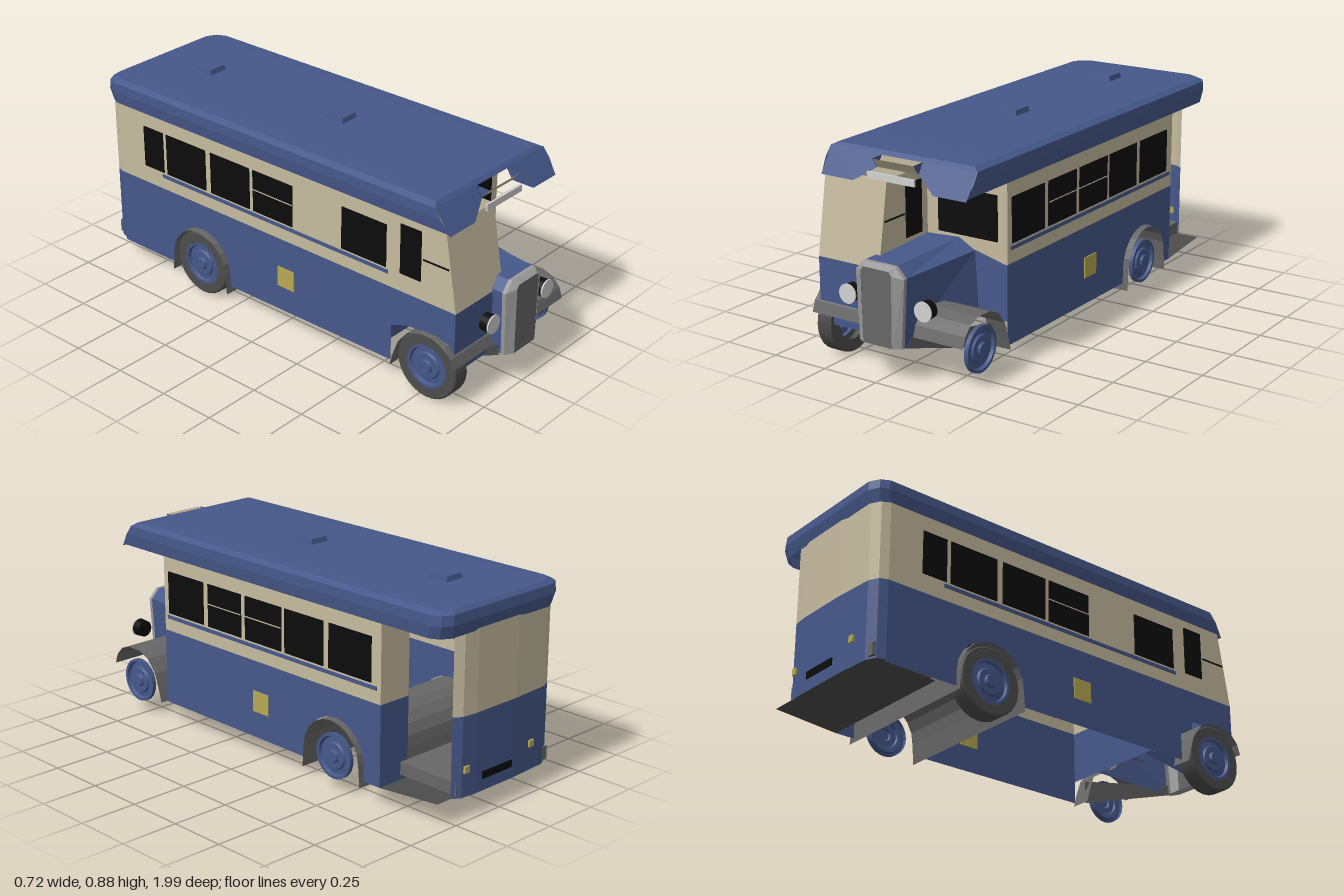
import * as THREE from 'three';
import { toCreasedNormals } from 'three/addons/utils/BufferGeometryUtils.js';

const paint = (name, color) => new THREE.MeshStandardMaterial({ name, color, side: THREE.DoubleSide });

export function createModel() {
  const bus = new THREE.Group();
  bus.name = 'halfCabBus';
  const blue = paint('blue', 0x46588a), cream = paint('cream', 0xc6bb9f), black = paint('black', 0x0c0c0c),
    grey = paint('grey', 0x676767), silver = paint('silver', 0x999999), white = paint('white', 0xd2d2d2),
    yellow = paint('yellow', 0xb8a852), rubber = paint('rubber', 0x4c4c4c);

  const add = (name, geo, mat, x = 0, y = 0, z = 0) => {
    const m = new THREE.Mesh(geo, mat);
    m.name = name;
    m.position.set(x, y, z);
    bus.add(m);
    return m;
  };
  // Box given by its limits
  const box = (name, mat, x0, x1, y0, y1, z0, z1) =>
    add(name, new THREE.BoxGeometry(x1 - x0, y1 - y0, z1 - z0), mat, (x0 + x1) / 2, (y0 + y1) / 2, (z0 + z1) / 2);
  // Faceted surface through rows of points; keep(i, j) may leave out a quad
  const loft = (name, mat, rows, closed = false, keep = () => true) => {
    const p = [];
    for (let i = 0; i + 1 < rows.length; i++) {
      const n = rows[i].length;
      for (let j = 0; j < (closed ? n : n - 1); j++) {
        if (!keep(i, j)) continue;
        const k = (j + 1) % n, [a, b, c, d] = [rows[i][j], rows[i][k], rows[i + 1][k], rows[i + 1][j]];
        p.push(...a, ...b, ...c, ...a, ...c, ...d);
      }
    }
    const g = new THREE.BufferGeometry();
    g.setAttribute('position', new THREE.Float32BufferAttribute(p, 3));
    g.computeVertexNormals();
    return add(name, g, mat);
  };
  const shape = pts => new THREE.Shape(pts.map(q => new THREE.Vector2(...q)));
  // Upright panel in the z-y plane at a given x
  const sidePanel = (name, mat, x, pts) =>
    add(name, new THREE.ShapeGeometry(shape(pts)).rotateY(-Math.PI / 2), mat, x);
  const frontPanel = (name, mat, z, pts) => add(name, new THREE.ShapeGeometry(shape(pts)), mat, 0, 0, z);
  const rect = (a, b, c, d) => [[a, c], [b, c], [b, d], [a, d]];
  // Arc of [z, y] points around a wheel
  const arc = (cz, cy, r, a0, a1, n = 10) => Array.from({ length: n + 1 }, (_, i) => {
    const a = (a0 + (a1 - a0) * i / n) * Math.PI / 180;
    return [cz + r * Math.cos(a), cy + r * Math.sin(a)];
  });

  // Side walls with rear wheel arches
  const W = 0.335, REAR = -0.435, FRONT = 0.785;
  for (const s of [1, -1]) {
    const end = s > 0 ? -0.68 : -0.92;
    const arch = arc(REAR, 0.145, 0.158, 180, 0);
    sidePanel('lowerSide', blue, s * W,
      [[0.6, 0.42], [end, 0.42], [end, 0.08], [arch[0][0], 0.08], ...arch, [arch[10][0], 0.085], [0.6, 0.09]]);
    sidePanel('upperSide', cream, s * W, rect(end, 0.6, 0.42, 0.76));
    box('waistStripe', blue, s * W - 0.004, s * W + 0.004, 0.475, 0.49, -0.66, 0.58);
  }

  // Side windows
  const panes = [[0.345, 0.57], [0.11, 0.315], [-0.13, 0.085], [-0.37, -0.15], [-0.63, -0.4]];
  const pane = (x, z0, z1, y0 = 0.5, y1 = 0.685) => box('window', black, x - 0.004, x + 0.004, y0, y1, z0, z1);
  panes.forEach(([a, b], i) => {
    pane(W, a, b);
    if (i !== 1) pane(-W, a, b);
    if (i === 1 || i === 2) box('windowBar', cream, W, W + 0.005, 0.596, 0.601, a, b);
  });
  box('windowBar', cream, -W - 0.005, -W, 0.596, 0.601, -0.13, 0.085);
  pane(-W, -0.765, -0.65);
  pane(-W + 0.006, -0.89, -0.78);

  // Rounded tail wall, open at the platform corner
  const tail = [[-W, -0.92], [-0.322, -0.955], [-0.28, -0.975], [-0.1, -0.985], [0.13, -0.985], [0.2, -0.978], [0.235, -0.955]];
  const tailRow = y => tail.map(([x, z]) => [x, y, z]);
  loft('lowerTail', blue, [tailRow(0.09), tailRow(0.42)]);
  loft('upperTail', cream, [tailRow(0.42), tailRow(0.77)]);
  box('numberPlate', black, -0.08, 0.09, 0.14, 0.17, -0.99, -0.984);
  for (const x of [-0.2, 0.18]) box('tailLamp', yellow, x - 0.013, x + 0.013, 0.19, 0.218, -0.989, -0.978);
  for (const s of [1, -1]) box('sideBadge', yellow, s * W - 0.004, s * W + 0.004, 0.2, 0.29, s > 0 ? -0.05 : 0, s > 0 ? 0.04 : 0.09);

  // Rear platform and its bulkhead
  loft('platformUnderside', rubber, [[[-0.32, 0.08, -0.68], [W, 0.08, -0.68]], [[-0.32, 0.1, -0.97], [0.325, 0.1, -0.97]]]);
  box('platformFloor', grey, -0.32, 0.22, 0.102, 0.155, -0.97, -0.68);
  frontPanel('platformBulkheadLower', blue, -0.68, rect(0.18, W, 0.08, 0.42));
  frontPanel('platformBulkheadUpper', cream, -0.68, rect(0.18, W, 0.42, 0.77));

  // Front bulkhead
  frontPanel('bulkheadLower', blue, 0.6, [[-W, 0.19], [W, 0.19], [W, 0.418], [0.18, 0.455], [-W, 0.455]]);
  frontPanel('bulkheadUpper', cream, 0.598, rect(-W, W, 0.418, 0.8));
  box('bulkheadWindow', black, 0.015, 0.29, 0.505, 0.69, 0.598, 0.605);

  // Driver's half cab
  const CI = -0.04;
  loft('cabFront', cream, [[[-W, 0.42, 0.91], [CI, 0.42, 0.91]], [[-W, 0.76, 0.852], [CI, 0.76, 0.852]]]);
  frontPanel('cabApron', blue, 0.91, [[-W, 0.21], [-0.27, 0.21], [-0.27, 0.15], [-0.08, 0.15], [-0.08, 0.42], [-W, 0.42]]);
  sidePanel('cabLowerSide', blue, -W, [[0.6, 0.25], [0.68, 0.28], [0.88, 0.28], [0.91, 0.21], [0.91, 0.42], [0.6, 0.42]]);
  for (const x of [-W, CI]) {
    sidePanel('cabUpperSide', cream, x, [[0.6, 0.42], [0.91, 0.42], [0.852, 0.76], [0.6, 0.76]]);
    pane(x, 0.64, 0.74, 0.5, 0.715);
    box('cabWindowRail', black, x - 0.004, x + 0.004, 0.596, 0.602, 0.75, 0.872);
  }

  // Bonnet
  const nose = [[-0.092, 0.15], [-0.103, 0.43], [-0.065, 0.472], [0.085, 0.472], [0.125, 0.43], [0.108, 0.15]];
  const cowl = [[-0.1, 0.2], [-0.1, 0.44], [-0.04, 0.485], [0.11, 0.493], [0.185, 0.452], [0.2, 0.2]];
  const at = (pts, z) => pts.map(([x, y]) => [x, y, z]);
  loft('bonnet', blue, [at(cowl, 0.6), at(nose, 0.955)]);

  // Radiator shell and grille
  const core = [[-0.058, 0.152], [-0.062, 0.44], [-0.05, 0.457], [0.07, 0.457], [0.082, 0.44], [0.078, 0.152]];
  loft('radiatorShell', silver, [at(nose, 0.95), at(nose, 0.972), at(core, 0.995)], true);
  frontPanel('radiatorGrille', grey, 0.994, core);

  // Headlamps
  for (const x of [-0.157, 0.2]) {
    add('headlampBody', new THREE.CylinderGeometry(0.038, 0.036, 0.04, 20).rotateX(Math.PI / 2), black, x, 0.315, 0.937);
    add('headlampLens', new THREE.CylinderGeometry(0.04, 0.04, 0.006, 20).rotateX(Math.PI / 2), white, x, 0.315, 0.959);
  }

  // Mudguards: the rear one runs right across the body
  const sweep = (name, mat, pts, x0, x1) =>
    loft(name, mat, [pts.map(([z, y]) => [x0, y, z]), pts.map(([z, y]) => [x1, y, z])]);
  const wing = [[0.93, 0.19], [0.915, 0.235], [0.88, 0.272], [0.83, 0.289], [0.76, 0.289], [0.7, 0.265], [0.655, 0.21], [0.63, 0.14], [0.615, 0.085]];
  sweep('rightFrontMudguard', grey, wing.slice(0, 7), -0.36, -0.11);
  sweep('rightFrontMudguardTail', grey, wing.slice(6), -0.36, -0.27);
  sweep('leftFrontMudguard', grey, wing.slice(0, 7), 0.13, 0.36);
  sweep('leftFrontMudguardTail', grey, wing.slice(6), 0.27, 0.36);
  sweep('rearMudguard', grey, [[REAR - 0.16, 0.06], ...arc(REAR, 0.145, 0.153, 180, 0), [REAR + 0.16, 0.055]], -0.36, 0.36);

  // Valances under the bonnet
  for (const s of [1, -1]) {
    loft('valance', rubber, [[[s * 0.1, 0.145, 0.95], [s * 0.1, 0.19, 0.95]], [[s * 0.3, 0.088, 0.63], [s * 0.3, 0.19, 0.63]]]);
  }

  // Wheels: hubs on both sides, tyres on the right
  const turned = (pts, s) => toCreasedNormals(
    new THREE.LatheGeometry(pts.map(q => new THREE.Vector2(...q)), 28).rotateZ(-s * Math.PI / 2), 0.5);
  const hub = [[0.095, 0.055], [0.095, 0.073], [0.083, 0.073], [0.078, 0.06], [0.058, 0.062], [0.053, 0.07], [0.028, 0.07], [0.023, 0.08], [0, 0.08]];
  const tyre = [[0.09, 0], [0.142, 0], [0.142, 0.068], [0.136, 0.073], [0.094, 0.073]];
  for (const z of [FRONT, REAR]) {
    for (const s of [1, -1]) add('wheelHub', turned(hub, s), blue, s * 0.272, 0.142, z);
    add('tyre', turned(tyre, -1), rubber, -0.272, 0.142, z);
  }

  // Roof shell: rings with cut corners, open under the front canopy
  const ring = (y, w, zf, zb, c) => [[w, y, zf], [w, y, zb + c], [w - c * 0.3, y, zb + c * 0.4], [w - c, y, zb],
    [c - w, y, zb], [c * 0.3 - w, y, zb + c * 0.4], [-w, y, zb + c], [-w, y, zf]];
  const rings = [ring(0.748, 0.34, 0.868, -0.983, 0.06), ring(0.8, 0.347, 0.835, -0.997, 0.06), ring(0.84, 0.345, 0.805, -0.993, 0.06),
    ring(0.854, 0.32, 0.79, -0.975, 0.06), ring(0.858, 0.262, 0.6, -0.95, 0.05)];
  loft('roof', blue, rings, true, (i, j) => i > 1 || j !== 7);
  const top = rings[4].map(([x, , z]) => [x, -z]);
  add('roofTop', new THREE.ShapeGeometry(shape(top)).rotateX(-Math.PI / 2), blue, 0, 0.858, 0);

  // Leaning canopy with a notch for the route board
  const canopy = new THREE.ShapeGeometry(shape([[-0.34, 0.74], [-0.185, 0.74], [-0.095, 0.797], [-0.095, 0.838], [0.098, 0.838],
    [0.098, 0.797], [0.19, 0.74], [0.34, 0.74], [0.345, 0.842], [-0.345, 0.842]]));
  const cp = canopy.attributes.position;
  for (let i = 0; i < cp.count; i++) cp.setZ(i, 0.873 - (cp.getY(i) - 0.74) * 0.67);
  canopy.computeVertexNormals();
  add('canopy', canopy, blue);
  loft('routeBoard', cream, [[[-0.092, 0.798, 0.836], [0.096, 0.798, 0.836]], [[-0.092, 0.838, 0.868], [0.096, 0.838, 0.868]]]);
  for (const x of [-0.095, 0.098]) sidePanel('routeBoardCheek', blue, x, [[0.836, 0.797], [0.868, 0.838], [0.807, 0.84]]);
  box('routePlate', white, -0.115, 0.107, 0.76, 0.788, 0.868, 0.876);

  // Roof vents, narrower at the top
  for (const z of [0.05, -0.69]) {
    const vent = new THREE.CylinderGeometry(0.9, 1, 0.024, 4, 1).rotateY(Math.PI / 4).toNonIndexed();
    vent.scale(0.045 / Math.SQRT1_2, 1, 0.05 / Math.SQRT1_2);
    vent.computeVertexNormals();
    add('roofVent', vent, blue, -0.004, 0.868, z);
  }
  return bus;
}
